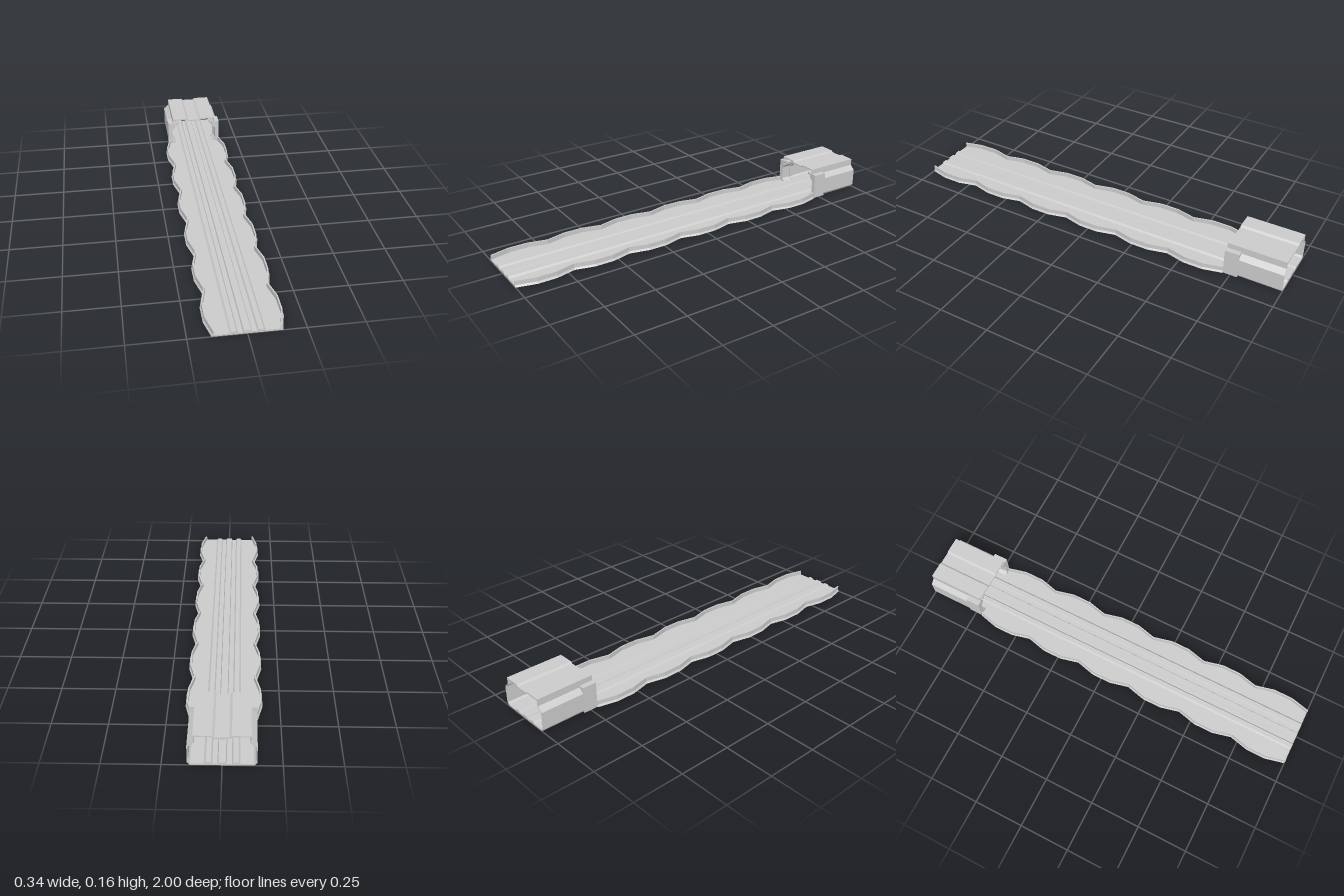
import * as THREE from 'three';

const material = new THREE.MeshStandardMaterial({ color: 0xcccccc, flatShading: true, side: THREE.DoubleSide });
const END = -0.715; // where the open tray meets the tunnel

const mirrorX = (pts) => pts.map(([x, y]) => [-x, y]).reverse();
const symmetric = (right) => [...right, ...mirrorX(right)];

// Right half of the ribbed floor surface, from the centre outwards
const ribs = [[0.015, 0.016], [0.019, 0.008], [0.04, 0.008], [0.046, 0.016], [0.067, 0.016], [0.075, 0.008]];

function add(group, name, geometry) {
  const mesh = new THREE.Mesh(geometry, material);
  mesh.name = name;
  group.add(mesh);
  return mesh;
}

// Extrude an x-y outline between two z positions
function prism(pts, z0, z1) {
  const shape = new THREE.Shape(pts.map(([x, y]) => new THREE.Vector2(x, y)));
  return new THREE.ExtrudeGeometry(shape, { depth: z1 - z0, bevelEnabled: false }).translate(0, 0, z0);
}

// Tray cross-section for a given half-width at the rim
function traySection(w) {
  return symmetric([...ribs, [w - 0.007, 0.008], [w - 0.007, 0.03], [w, 0.03], [w, 0.009], [w + 0.006, 0]]);
}

// Loft the tray through narrow and wide stations to make scalloped edges
function trayGeometry() {
  const steps = 18, narrow = 0.143, wide = 0.166;
  const positions = [], index = [];
  let n = 0;
  for (let i = 0; i <= steps; i++) {
    const z = 1 + (END - 1) * i / steps;
    const section = traySection(i % 3 === 0 ? narrow : wide);
    n = section.length;
    section.forEach(([x, y]) => positions.push(x, y, z));
  }
  for (let i = 0; i < steps; i++) {
    for (let j = 0; j < n; j++) {
      const a = i * n + j, b = i * n + (j + 1) % n;
      index.push(a, a + n, b, b, a + n, b + n);
    }
  }
  // End caps
  const outline = traySection(narrow).map(([x, y]) => new THREE.Vector2(x, y));
  for (const [a, b, c] of THREE.ShapeUtils.triangulateShape(outline, [])) {
    index.push(a, b, c);
    index.push(steps * n + c, steps * n + b, steps * n + a);
  }
  const geometry = new THREE.BufferGeometry();
  geometry.setAttribute('position', new THREE.Float32BufferAttribute(positions, 3));
  geometry.setIndex(index);
  const flat = geometry.toNonIndexed();
  flat.computeVertexNormals();
  return flat;
}

// Closed tunnel shell: outer outline with an inner hole
function tunnelGeometry() {
  const outer = symmetric([
    [0.03, 0.148], [0.04, 0.156], [0.119, 0.156], [0.119, 0.122],
    [0.144, 0.1], [0.144, 0.014], [0.132, 0],
  ]);
  const inner = symmetric([
    [0.031, 0.141], [0.041, 0.149], [0.115, 0.149], [0.115, 0.119], [0.139, 0.098],
    [0.139, 0.016], [0.131, 0.008], ...[...ribs].reverse(),
  ]);
  const vec = (pts) => pts.map(([x, y]) => new THREE.Vector2(x, y));
  const shape = new THREE.Shape(vec(outer));
  shape.holes.push(new THREE.Path(vec(inner)));
  return new THREE.ExtrudeGeometry(shape, { depth: END + 1, bevelEnabled: false }).translate(0, 0, -1);
}

export function createModel() {
  const model = new THREE.Group();
  model.name = 'cableTray';

  add(model, 'scallopedTray', trayGeometry());
  add(model, 'tunnelShell', tunnelGeometry());

  // Clamping collars at the tunnel mouth, with a slimmer lip behind
  const collar = [[0.105, 0.001], [0.146, 0.001], [0.146, 0.13], [0.105, 0.13], [0.105, 0.108],
    [0.124, 0.088], [0.124, 0.022], [0.105, 0.009]];
  const lip = [[0.105, 0.002], [0.143, 0.002], [0.143, 0.1], [0.12, 0.121], [0.1, 0.121], [0.1, 0.106],
    [0.118, 0.086], [0.118, 0.023], [0.105, 0.013]];
  for (const side of ['left', 'right']) {
    const place = (pts) => (side === 'left' ? pts : mirrorX(pts));
    add(model, side + 'Collar', prism(place(collar), -0.785, END));
    add(model, side + 'CollarLip', prism(place(lip), -0.785, -0.765));
    // Hinge rod beside the lid
    const rod = new THREE.CylinderGeometry(0.0085, 0.0085, 0.07, 12).rotateX(Math.PI / 2);
    add(model, side + 'HingeRod', rod).position.set(side === 'left' ? 0.095 : -0.095, 0.128, -0.75);
  }

  // Small ridge under the lid groove
  add(model, 'lidRidge', prism(symmetric([[0.005, 0.135], [0.008, 0.142]]), -1, END - 0.01));
  return model;
}
